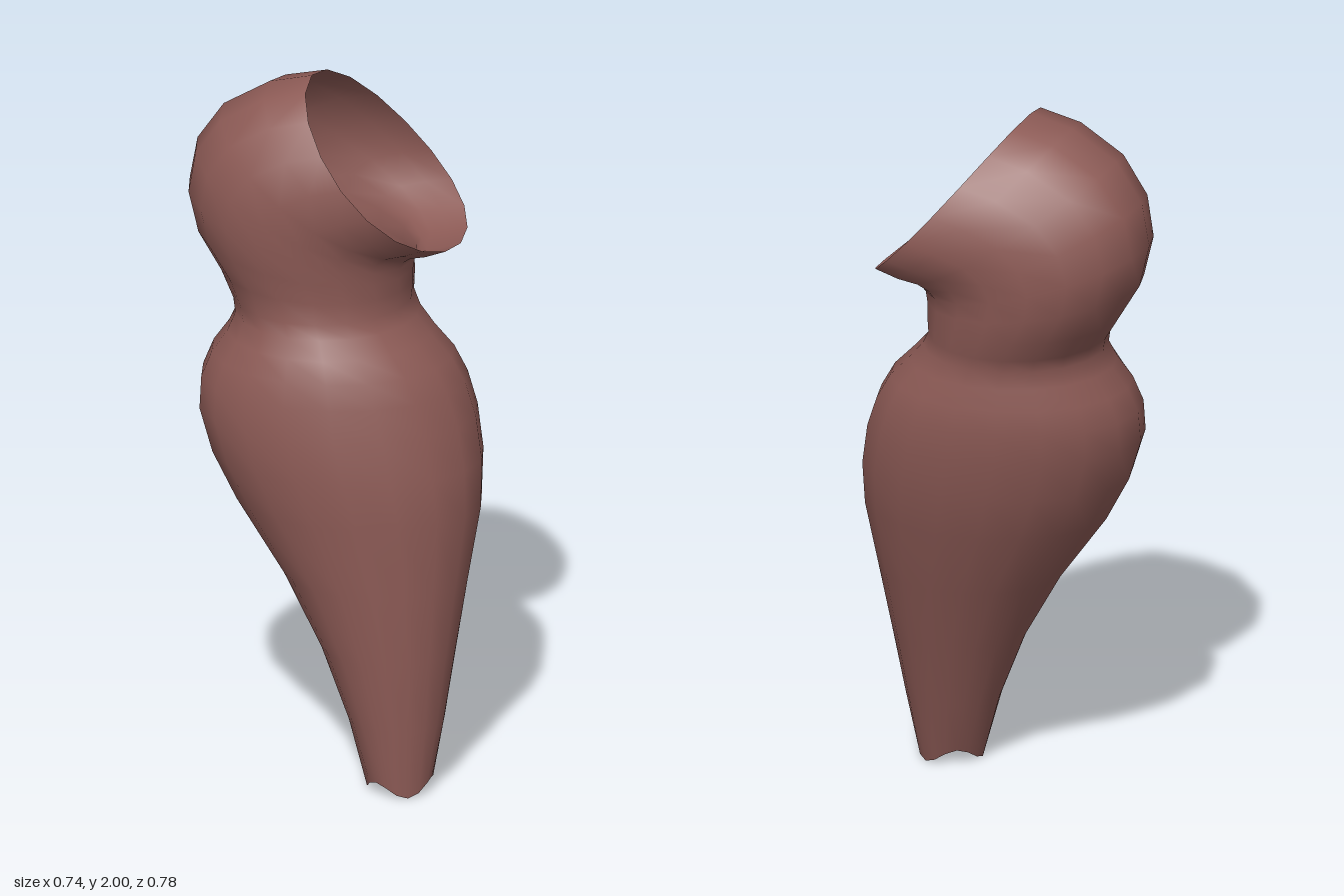
import * as THREE from 'three';

const SIDES = 18;

// Body rings: height, x min, x max, z min, z max, skew angle of the oval
const BODY = [
  [0.025, -0.07, 0.115, 0.2, 0.37, 0.785],
  [0.2, -0.1, 0.16, 0.13, 0.38, 0.76],
  [0.4, -0.15, 0.21, 0.045, 0.385, 0.73],
  [0.6, -0.215, 0.262, -0.07, 0.388, 0.69],
  [0.8, -0.3, 0.312, -0.2, 0.39, 0.64],
  [0.93, -0.348, 0.333, -0.262, 0.378, 0.64],
  [1.05, -0.368, 0.333, -0.3, 0.35, 0.64],
  [1.14, -0.36, 0.32, -0.307, 0.322, 0.66],
  [1.21, -0.335, 0.295, -0.295, 0.293, 0.69],
  [1.27, -0.3, 0.258, -0.272, 0.25, 0.74],
  [1.32, -0.275, 0.234, -0.264, 0.21, 0.77],
  [1.36, -0.275, 0.229, -0.28, 0.19, 0.785],
];

// Head rings, tilting toward the front left: front reach, front height,
// back reach, back height, half width, x stretch
const HEAD = [
  [0.2, 1.41, -0.335, 1.43, 0.25, 1],
  [0.2, 1.45, -0.4, 1.54, 0.262, 1],
  [0.205, 1.48, -0.428, 1.66, 0.27, 1],
  [0.215, 1.495, -0.405, 1.78, 0.275, 1.02],
  [0.235, 1.505, -0.33, 1.89, 0.28, 1.04],
  [0.275, 1.51, -0.2, 1.97, 0.28, 1.07],
  [0.33, 1.53, -0.08, 2.0, 0.27, 1.09],
];

function makeRings() {
  const rings = BODY.map(([y, x0, x1, z0, z1, skew], i) => ({
    cx: (x0 + x1) / 2, cz: (z0 + z1) / 2, y, tilt: 0, sag: 0,
    rx: (x1 - x0) / 2, rz: (z1 - z0) / 2, skew, wave: i === 0 ? 0.02 : 0,
  }));
  HEAD.forEach(([f, fy, b, by, w, k], i) => {
    const mid = (f + b) / 2, half = (f - b) / 2;
    const r = Math.sqrt((half * half + w * w) / 2);
    rings.push({
      cx: (mid + 0.03) / Math.SQRT2, cz: (mid - 0.03) / Math.SQRT2,
      y: (fy + by) / 2, tilt: (fy - by) / 2, sag: 0.006 * i,
      rx: r * k, rz: r * (2 - k), skew: Math.atan2(w, half), wave: 0,
    });
  });
  return rings;
}

// Skin the rings into one open, smooth shell
function loft(rings) {
  const pos = [], index = [];
  rings.forEach((r, i) => {
    for (let j = 0; j < SIDES; j++) {
      const t = (j / SIDES) * Math.PI * 2;
      pos.push(
        r.cx + r.rx * Math.cos(t - r.skew),
        r.y + r.tilt * Math.cos(t) - r.sag * Math.sin(t) ** 2 + r.wave * Math.cos(3 * t),
        r.cz + r.rz * Math.cos(t + r.skew),
      );
      if (i === rings.length - 1) continue;
      const a = i * SIDES + j, b = i * SIDES + ((j + 1) % SIDES);
      index.push(a, b, a + SIDES, b, b + SIDES, a + SIDES);
    }
  });
  const geo = new THREE.BufferGeometry();
  geo.setAttribute('position', new THREE.Float32BufferAttribute(pos, 3));
  geo.setIndex(index);
  geo.computeVertexNormals();
  return geo;
}

export function createModel() {
  const group = new THREE.Group();
  group.name = 'hollowTube';
  const skin = new THREE.MeshStandardMaterial({ color: 0x8c5a55, side: THREE.DoubleSide });
  skin.name = 'dusty reddish brown';
  const shell = new THREE.Mesh(loft(makeRings()), skin);
  shell.name = 'openShell';
  group.add(shell);
  return group;
}
